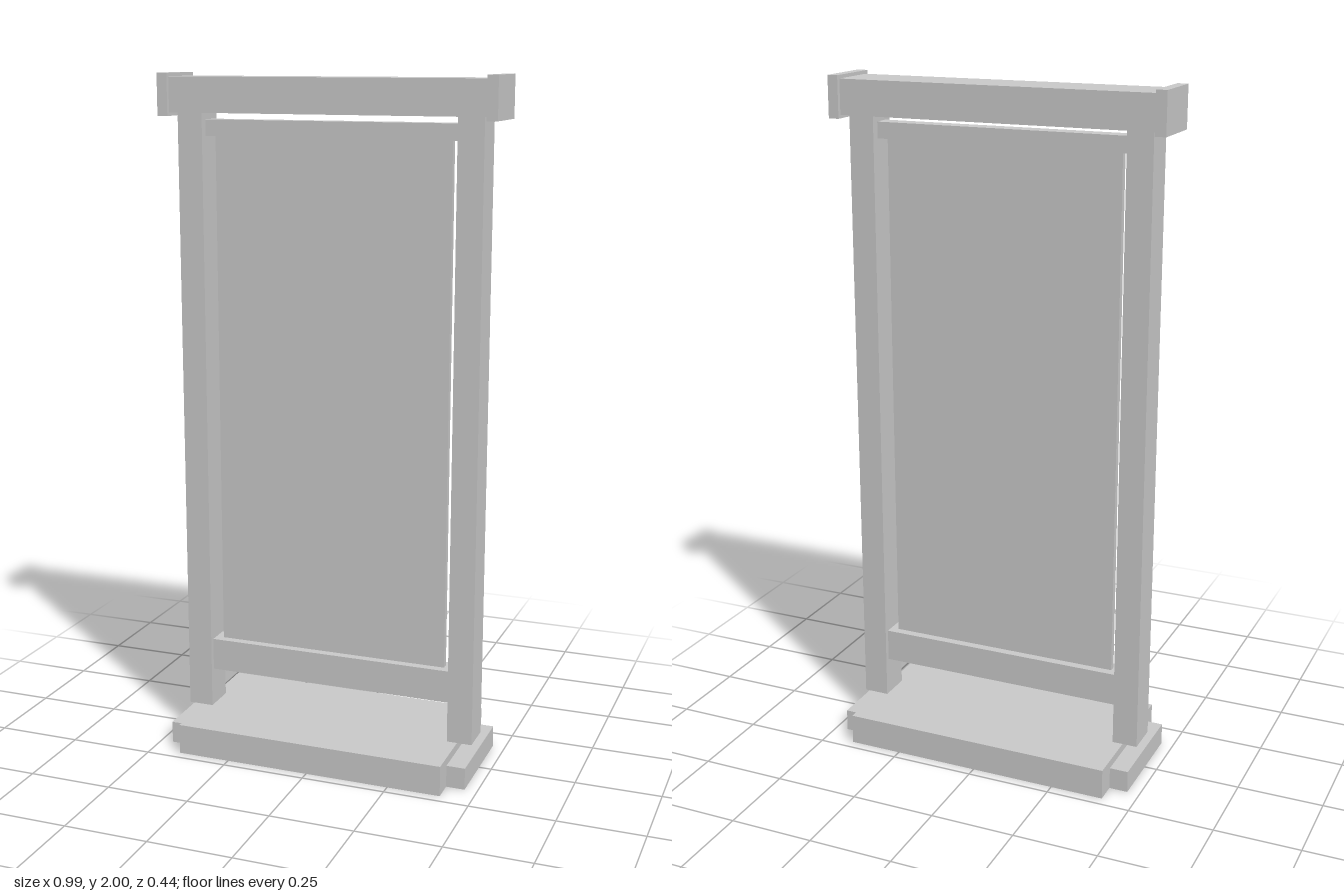
import * as THREE from 'three';

export function createModel() {
  const model = new THREE.Group();
  const material = new THREE.MeshStandardMaterial({ color: 0xcccccc, flatShading: true });

  // Box given by its x and y ranges and its full depth, centred on z = 0
  function box(name, x0, x1, y0, y1, depth) {
    const mesh = new THREE.Mesh(new THREE.BoxGeometry(x1 - x0, y1 - y0, depth), material);
    mesh.name = name;
    mesh.position.set((x0 + x1) / 2, (y0 + y1) / 2, 0);
    model.add(mesh);
  }

  // Base slab and top beam
  box('base', -0.408, 0.408, 0, 0.09, 0.44);
  box('topBeam', -0.466, 0.466, 1.89, 1.99, 0.152);

  // Hanging panel between two rails
  box('upperRail', -0.38, 0.38, 1.823, 1.87, 0.05);
  box('panel', -0.353, 0.353, 0.3, 1.825, 0.02);
  box('lowerRail', -0.38, 0.38, 0.205, 0.302, 0.07);

  // Mirrored side parts: foot, post and beam cap
  for (const [side, s] of [['left', 1], ['right', -1]]) {
    const pair = (part, inner, outer, y0, y1, depth) =>
      box(side + part, Math.min(s * inner, s * outer), Math.max(s * inner, s * outer), y0, y1, depth);
    pair('Foot', 0.403, 0.463, 0, 0.065, 0.312);
    pair('Post', 0.377, 0.452, 0.09, 1.89, 0.1);
    pair('BeamCap', 0.466, 0.497, 1.88, 2, 0.175);
  }
  return model;
}
